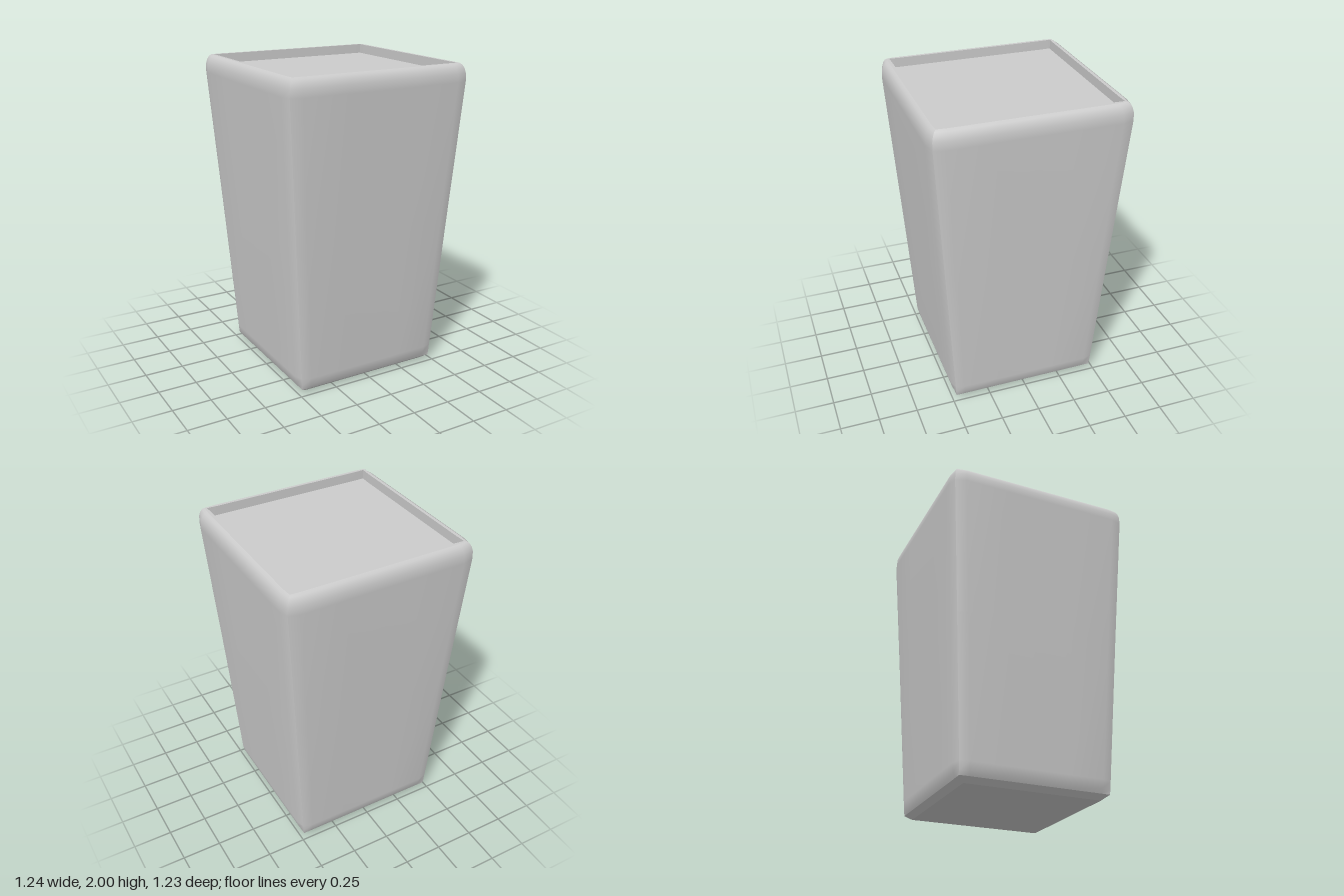
import * as THREE from 'three';
import { mergeGeometries } from 'three/addons/utils/BufferGeometryUtils.js';

const material = new THREE.MeshStandardMaterial({ color: 0xcccccc });

// Columns across a side: fraction of the half width, and how much of the bulge applies.
const columns = [[-1, 0], [-0.88, 1], [-0.4, 1], [0, 1], [0.4, 1], [0.88, 1], [1, 0]];

// One smooth side panel; each row is [y, corner distance, mid-side distance].
function panel(rows) {
  const positions = [], indices = [];
  const n = columns.length;
  for (const [y, corner, mid] of rows) {
    for (const [f, bulge] of columns) {
      positions.push(corner * f, y, corner + (mid - corner) * bulge);
    }
  }
  for (let r = 0; r < rows.length - 1; r++) {
    for (let c = 0; c < n - 1; c++) {
      const a = r * n + c, b = a + 1, d = a + n, e = d + 1;
      indices.push(a, b, e, a, e, d);
    }
  }
  const geometry = new THREE.BufferGeometry();
  geometry.setAttribute('position', new THREE.Float32BufferAttribute(positions, 3));
  geometry.setIndex(indices);
  geometry.computeVertexNormals();
  return geometry;
}

// Four panels around the axis, with creases where they meet.
function squareBand(name, rows) {
  const sides = [0, 1, 2, 3].map((k) => panel(rows).rotateY(k * Math.PI / 2));
  const mesh = new THREE.Mesh(mergeGeometries(sides).scale(1, 1, 0.99), material);
  mesh.name = name;
  return mesh;
}

export function createModel() {
  const group = new THREE.Group();
  group.name = 'taperedPlanter';
  group.add(
    // Flat underside and the chamfer around it
    squareBand('base', [[0, 0, 0], [0, 0.44, 0.44]]),
    squareBand('baseChamfer', [[0, 0.44, 0.44], [0.03, 0.48, 0.48]]),
    // Tapered walls, slightly bulged, rounding in towards the rim
    squareBand('outerWalls', [
      [0.03, 0.48, 0.48], [0.06, 0.483, 0.493], [0.11, 0.486, 0.505],
      [1, 0.542, 0.562], [1.89, 0.6, 0.62], [1.94, 0.599, 0.616],
      [1.97, 0.592, 0.606], [1.99, 0.582, 0.592], [2, 0.57, 0.575],
    ]),
    // Narrow rim, recess wall and the sunken top
    squareBand('rim', [[2, 0.57, 0.575], [2, 0.558, 0.555]]),
    squareBand('recessWalls', [[2, 0.558, 0.555], [1.94, 0.558, 0.555]]),
    squareBand('recessFloor', [[1.94, 0.558, 0.555], [1.94, 0, 0]]),
  );
  return group;
}
